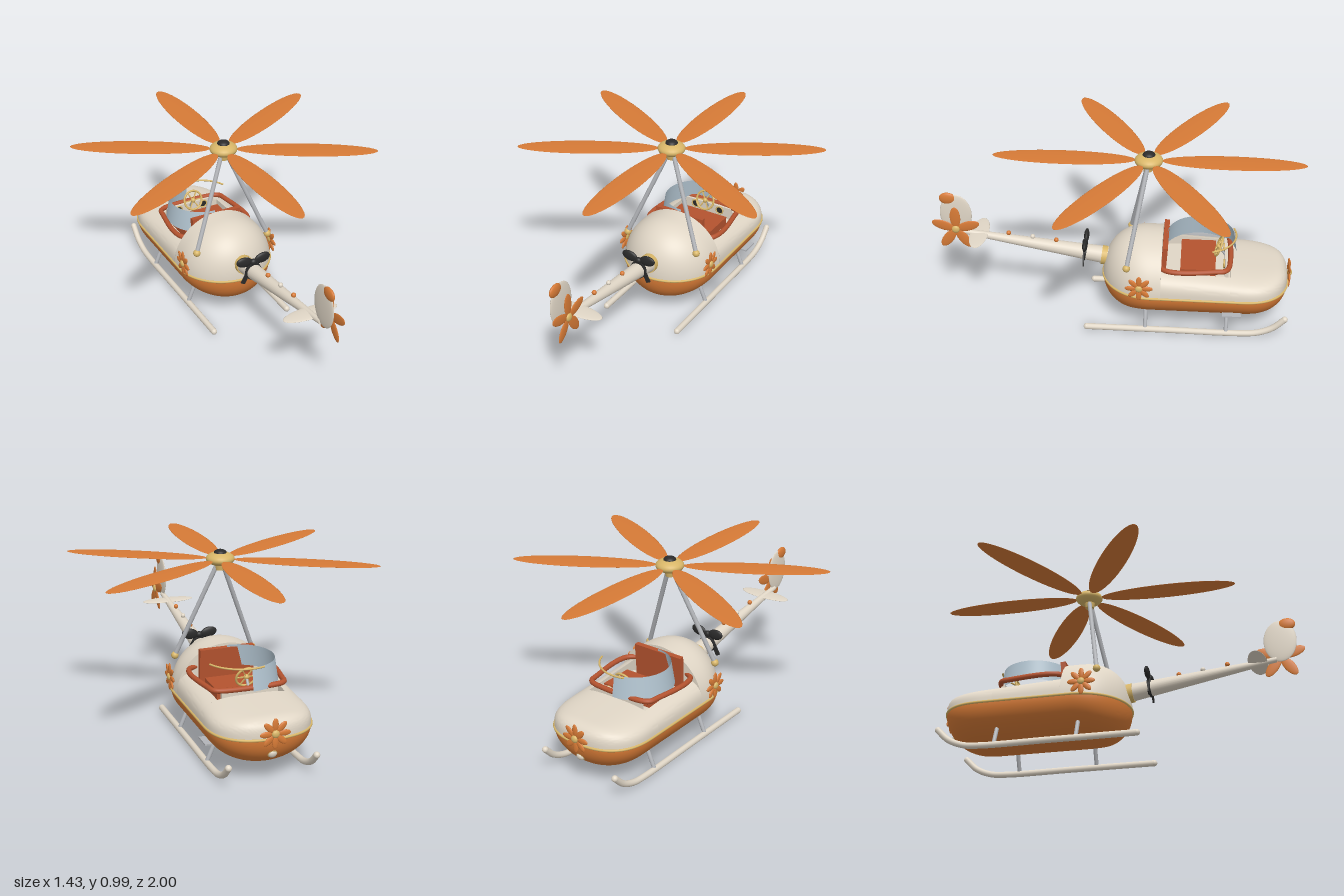
import * as THREE from 'three';
import { toCreasedNormals } from 'three/addons/utils/BufferGeometryUtils.js';

const mat = (name, color, side = THREE.FrontSide) => {
  const m = new THREE.MeshStandardMaterial({ color, side });
  m.name = name;
  return m;
};
const V = (x, y, z) => new THREE.Vector3(x, y, z);

// rounded end factor: 1 at u = 0, 0 at u = 1
const cap = (u, p) => Math.pow(Math.max(0, 1 - Math.pow(Math.max(0, u), p)), 1 / p);

// hull half width, belly depth, dome height and deck height along z
const SEAM = 0.255;
const width = z => 0.27 * (z > -0.2 ? cap((z + 0.2) / 0.265, 2) : cap((-0.68 - z) / 0.265, 2.5));
const depth = z => 0.18 * (z > -0.12 ? cap((z + 0.12) / 0.185, 2.2) : cap((-0.72 - z) / 0.225, 2.2));
const dome = z => 0.26 * cap((z + 0.17) / 0.235, 2.2);
const deck = z => (0.14 - (-0.26 - z) * 0.07) * cap((-0.85 - z) / 0.095, 3);

// point on a half superellipse, angle 0..PI above the seam
const arcPoint = (a, w, h, p) => {
  const c = Math.cos(a), s = Math.sin(a);
  return [w * Math.sign(c) * Math.pow(Math.abs(c), 2 / p), SEAM + h * Math.pow(Math.abs(s), 2 / p)];
};
const halfSection = (z, w, h, p, n = 40) =>
  Array.from({ length: n + 1 }, (_, i) => [...arcPoint(Math.PI * i / n, w, h, p), z]);

// skin through sections running from +z to -z
function loft(sections) {
  const n = sections[0].length, index = [];
  for (let i = 0; i < sections.length - 1; i++)
    for (let j = 0; j < n - 1; j++) {
      const a = i * n + j, c = a + n;
      index.push(a, c, a + 1, a + 1, c, c + 1);
    }
  const g = new THREE.BufferGeometry();
  g.setAttribute('position', new THREE.Float32BufferAttribute(sections.flat(2), 3));
  g.setIndex(index);
  return toCreasedNormals(g, 0.7);
}
const collapsed = (section, y) => section.map(p => [0, y, p[2]]);

export function createModel() {
  const cream = mat('cream', 0xe0d6c6, THREE.DoubleSide);
  const orange = mat('orange', 0xd67a36);
  const gold = mat('gold', 0xd8b668);
  const dark = mat('black', 0x2a2a2a);
  const red = mat('red', 0xb4532f);
  const glass = mat('glass', 0xb2c4d0, THREE.DoubleSide);
  const steel = mat('steel', 0xb2b4b8);

  const model = new THREE.Group();
  const add = (name, geo, m, pos = [0, 0, 0], parent = model) => {
    const mesh = new THREE.Mesh(geo, m);
    mesh.name = name;
    mesh.position.set(...pos);
    parent.add(mesh);
    return mesh;
  };
  const group = (name, pos = [0, 0, 0], parent = model) => {
    const g = new THREE.Group();
    g.name = name;
    g.position.set(...pos);
    parent.add(g);
    return g;
  };
  const ball = (name, m, pos, rx, ry = rx, rz = rx, parent = model) =>
    add(name, new THREE.SphereGeometry(1, 28, 18).scale(rx, ry, rz), m, pos, parent);
  const rod = (name, m, a, b, ra, rb = ra) => {
    const d = b.clone().sub(a);
    const r = add(name, new THREE.CylinderGeometry(rb, ra, d.length(), 24), m, a.clone().add(b).multiplyScalar(0.5).toArray());
    r.quaternion.setFromUnitVectors(V(0, 1, 0), d.normalize());
    return r;
  };
  const tube = (name, m, pts, r, closed = false, n = 80) =>
    add(name, new THREE.TubeGeometry(new THREE.CatmullRomCurve3(pts, closed, 'centripetal'), n, r, 12, closed), m);
  // petals around the local z axis, first one pointing up
  const petals = (name, parent, count, inner, outer, half, thick) => {
    for (let i = 0; i < count; i++) {
      const arm = group(name, [0, 0, 0], parent);
      arm.rotation.z = i * 2 * Math.PI / count;
      ball(name, orange, [0, (inner + outer) / 2, 0], half, (outer - inner) / 2, thick, arm);
    }
  };

  // belly
  const belly = [];
  for (let i = 0; i <= 60; i++) {
    const z = -0.44 + 0.505 * Math.cos(Math.PI * i / 60);
    belly.push(halfSection(z, -width(z), -depth(z), 2).map(([x, y]) => [x, y, z]));
  }
  add('lowerHull', loft(belly), orange);

  // rear dome with flat bulkhead
  const rear = [];
  for (let i = 0; i <= 28; i++) {
    const z = 0.065 - 0.325 * (1 - Math.cos(Math.PI / 2 * i / 28));
    rear.push(halfSection(z, width(z), dome(z), 2));
  }
  rear.push(collapsed(rear[28], 0.3));
  add('rearDome', loft(rear), cream);

  // cockpit sides with sunken floor
  const tub = [];
  for (let i = 0; i <= 10; i++) {
    const z = -0.26 - 0.037 * i, h = deck(z), side = [];
    const end = Math.acos(Math.pow(0.185 / 0.27, 1.6));
    for (let j = 0; j <= 14; j++) side.push([...arcPoint(end * j / 14, 0.27, h, 3.2), z]);
    side.push([0.185, 0.32, z]);
    tub.push([...side, ...side.map(([x, y]) => [-x, y, z]).reverse()]);
  }
  add('cockpitTub', loft(tub), cream);

  // nose deck
  const nose = [];
  for (let i = 0; i <= 30; i++) {
    const z = -0.63 - 0.315 * Math.sin(Math.PI / 2 * i / 30);
    nose.push(halfSection(z, width(z), deck(z), 3.2));
  }
  nose.unshift(collapsed(nose[0], 0.3));
  add('noseDeck', loft(nose), cream);

  // gold seam around the hull
  const seam = [];
  for (let i = 0; i < 72; i++) {
    const a = 2 * Math.PI * i / 72, z = -0.44 + 0.505 * Math.cos(a);
    seam.push(V(Math.sign(Math.sin(a)) * width(z), SEAM, z));
  }
  tube('seamTrim', gold, seam, 0.007, true, 160);

  // cockpit rim, seat, dashboard
  const rim = [[-0.2, -0.27], [-0.2, -0.56], [-0.19, -0.6], [-0.155, -0.62], [0.155, -0.62], [0.19, -0.6], [0.2, -0.56], [0.2, -0.27]];
  tube('cockpitRim', red, rim.map(([x, z]) => V(x, 0.4, z)), 0.014, true, 120);
  add('seatCushion', new THREE.BoxGeometry(0.3, 0.05, 0.19), red, [0, 0.35, -0.455]);
  add('seatBack', new THREE.BoxGeometry(0.3, 0.18, 0.028), red, [0, 0.41, -0.272]).rotation.x = -0.06;
  add('dashboard', new THREE.BoxGeometry(0.3, 0.07, 0.02), cream, [0, 0.365, -0.61]);
  for (const x of [-0.08, 0.08]) {
    const dial = group('gauge', [x, 0.375, -0.598]);
    add('gaugeFace', new THREE.CylinderGeometry(0.022, 0.022, 0.006, 20).rotateX(Math.PI / 2), dark, [0, 0, 0], dial);
    add('gaugeRing', new THREE.TorusGeometry(0.022, 0.004, 8, 24), gold, [0, 0, 0.003], dial);
  }
  const wheel = group('steeringWheel', [0, 0.435, -0.565]);
  wheel.rotation.x = -0.35;
  add('wheelRing', new THREE.TorusGeometry(0.055, 0.006, 10, 36), gold, [0, 0, 0], wheel);
  ball('wheelHub', gold, [0, 0, 0], 0.014, 0.014, 0.014, wheel);
  for (let i = 0; i < 3; i++)
    add('wheelSpoke', new THREE.BoxGeometry(0.11, 0.006, 0.006), gold, [0, 0, 0], wheel).rotation.z = i * Math.PI / 3;
  rod('steeringColumn', steel, V(0, 0.435, -0.565), V(0, 0.37, -0.61), 0.007);

  // wraparound glass on one side, gold rail on the other
  add('windshield', new THREE.CylinderGeometry(0.18, 0.198, 0.12, 40, 1, true, Math.PI, Math.PI), glass, [0, 0.452, -0.465]);
  const rail = [];
  for (let i = 0; i <= 12; i++) {
    const a = 0.32 + 1.6 * i / 12;
    rail.push(V(0.19 * Math.cos(a), 0.51, -0.465 - 0.19 * Math.sin(a)));
  }
  tube('windshieldRail', gold, rail, 0.005);

  // main rotor on two struts
  ball('rotorHub', gold, [0, 0.95, -0.175], 0.075, 0.036, 0.075);
  ball('rotorCap', dark, [0, 0.98, -0.175], 0.034, 0.02, 0.034);
  add('rotorNeck', new THREE.CylinderGeometry(0.032, 0.024, 0.04, 24), gold, [0, 0.91, -0.172]);
  const rotor = group('mainRotor', [0, 0.95, -0.175]);
  rotor.rotation.x = -Math.PI / 2;
  petals('rotorBlade', rotor, 6, 0.07, 0.825, 0.075, 0.004);

  for (const s of [-1, 1]) {
    rod('mastStrut', steel, V(s * 0.22, 0.41, -0.075), V(s * 0.015, 0.92, -0.17), 0.012);
    ball('strutFoot', gold, [s * 0.22, 0.41, -0.075], 0.02);

    // skids
    tube('skid', cream, [V(s * 0.23, 0.025, 0.14), V(s * 0.23, 0.025, -0.3), V(s * 0.23, 0.025, -0.7),
      V(s * 0.23, 0.035, -0.79), V(s * 0.23, 0.07, -0.87), V(s * 0.23, 0.13, -0.932)], 0.017);
    ball('skidEnd', cream, [s * 0.23, 0.025, 0.14], 0.017);
    ball('skidTip', cream, [s * 0.23, 0.13, -0.932], 0.017);
    for (const z of [-0.18, -0.62]) rod('skidStrut', steel, V(s * 0.23, 0.03, z), V(s * 0.175, 0.16, z), 0.011);

    // side flowers
    const flower = group('sideFlower', [s * 0.272, 0.32, -0.145]);
    flower.rotation.y = s * Math.PI / 2;
    petals('flowerPetal', flower, 8, 0.012, 0.075, 0.015, 0.007);
    ball('flowerCentre', gold, [0, 0, 0.004], 0.019, 0.019, 0.011, flower);
  }
  add('footStep', new THREE.BoxGeometry(0.06, 0.008, 0.1), steel, [0.235, 0.155, -0.645]);

  // nose flower and lamp
  const noseFlower = group('noseFlower', [0, 0.285, -0.953]);
  noseFlower.rotation.y = Math.PI;
  petals('flowerPetal', noseFlower, 8, 0.012, 0.08, 0.016, 0.007);
  ball('flowerCentre', gold, [0, 0, 0.005], 0.02, 0.02, 0.012, noseFlower);
  const lamp = group('headlamp', [0, 0.168, -0.918]);
  lamp.rotation.x = -0.5;
  ball('lampLens', cream, [0, 0, -0.004], 0.022, 0.022, 0.014, lamp);
  add('lampRing', new THREE.TorusGeometry(0.022, 0.005, 8, 24), gold, [0, 0, 0], lamp);

  // tail boom with collar and beads
  rod('tailBoom', cream, V(0, 0.342, 0.02), V(0, 0.465, 0.85), 0.05, 0.014);
  rod('boomCollar', gold, V(0, 0.344, 0.045), V(0, 0.348, 0.076), 0.052);
  ball('bead', orange, [0, 0.431, 0.325], 0.013);
  ball('bead', cream, [0, 0.447, 0.455], 0.013);
  ball('bead', orange, [0, 0.464, 0.587], 0.013);

  // bow tied around the boom
  rod('bowBand', dark, V(0, 0.363, 0.16), V(0, 0.365, 0.172), 0.048);
  ball('bowKnot', dark, [0, 0.425, 0.166], 0.02, 0.018, 0.016);
  for (const s of [-1, 1]) {
    ball('bowLoop', dark, [s * 0.055, 0.435, 0.163], 0.047, 0.03, 0.014).rotation.z = s * 0.15;
    add('bowTail', new THREE.BoxGeometry(0.026, 0.12, 0.007), dark, [s * 0.04, 0.362, 0.172]).rotation.z = s * 0.5;
  }

  // tail surfaces
  ball('stabilizer', cream, [0, 0.456, 0.75], 0.155, 0.007, 0.052);
  ball('tailFin', cream, [0, 0.572, 0.873], 0.012, 0.12, 0.088);
  ball('finTip', orange, [0, 0.668, 0.913], 0.014, 0.035, 0.046);

  // tail rotor
  rod('tailAxle', steel, V(0, 0.5, 0.87), V(0.045, 0.5, 0.87), 0.009);
  const tailRotor = group('tailRotor', [0.04, 0.5, 0.87]);
  tailRotor.rotation.y = Math.PI / 2;
  petals('tailPetal', tailRotor, 5, 0.008, 0.136, 0.029, 0.006);
  ball('tailRotorCentre', gold, [0, 0, 0.003], 0.022, 0.022, 0.012, tailRotor);

  return model;
}
